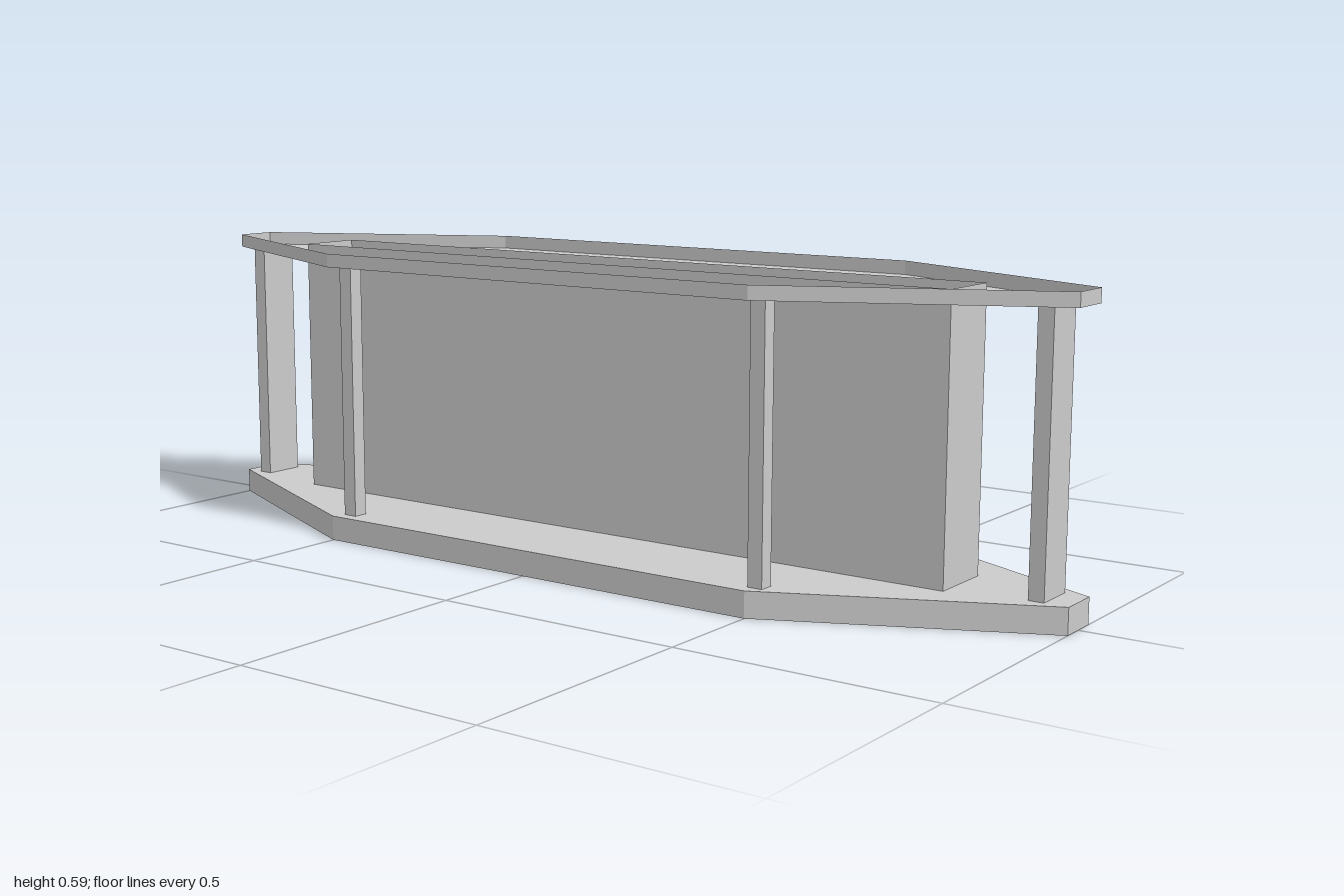
import * as THREE from 'three';

const material = new THREE.MeshStandardMaterial({ color: 0xcccccc, flatShading: true, side: THREE.DoubleSide });

// Vertical band along a closed [x, z] outline, open at top and bottom
function band(name, outline, y0, y1) {
  const pos = [];
  outline.forEach(([ax, az], i) => {
    const [bx, bz] = outline[(i + 1) % outline.length];
    pos.push(ax, y0, az, bx, y0, bz, bx, y1, bz);
    pos.push(ax, y0, az, bx, y1, bz, ax, y1, az);
  });
  const geometry = new THREE.BufferGeometry();
  geometry.setAttribute('position', new THREE.Float32BufferAttribute(pos, 3));
  geometry.computeVertexNormals();
  const mesh = new THREE.Mesh(geometry, material);
  mesh.name = name;
  return mesh;
}

// Counter-clockwise seen from above, so the walls face outwards
const rect = (x0, x1, z0, z1) => [[x0, z1], [x1, z1], [x1, z0], [x0, z0]];

// Thin flat sheet with a wall around its edge
function tray(name, outline, sheetY, y0, y1) {
  const group = new THREE.Group();
  group.name = name;
  const shape = new THREE.Shape(outline.map(([x, z]) => new THREE.Vector2(x, -z)));
  const sheet = new THREE.Mesh(new THREE.ShapeGeometry(shape).rotateX(-Math.PI / 2), material);
  sheet.name = name + 'Sheet';
  sheet.position.y = sheetY;
  group.add(sheet, band(name + 'Rim', outline, y0, y1));
  return group;
}

export function createModel() {
  const model = new THREE.Group();
  model.name = 'platformShelter';

  const outline = [
    [-0.043, 1], [0.043, 1], [0.28, 0.5], [0.28, -0.5],
    [0.043, -1], [-0.043, -1], [-0.28, -0.5], [-0.28, 0.5],
  ];

  // Floor is open below, roof is open above
  model.add(tray('floor', outline, 0.05, 0, 0.05));
  model.add(tray('roof', outline, 0.56, 0.56, 0.587));

  // Long central core passing through both sheets
  model.add(band('core', rect(-0.075, 0.06, -0.76, 0.78), 0.04, 0.58));

  // Slim side posts; the back pair reaches further down
  for (const [side, x] of [['right', -0.24], ['left', 0.25]]) {
    model.add(band(side + 'FrontPost', rect(x - 0.015, x + 0.015, 0.49, 0.52), 0.03, 0.56));
    model.add(band(side + 'BackPost', rect(x - 0.015, x + 0.015, -0.49, -0.46), 0.005, 0.56));
  }

  // Wide posts at both tips
  model.add(band('frontEndPost', rect(-0.043, 0.043, 0.925, 0.955), 0.015, 0.56));
  model.add(band('backEndPost', rect(-0.043, 0.043, -0.96, -0.93), 0.015, 0.56));

  return model;
}
